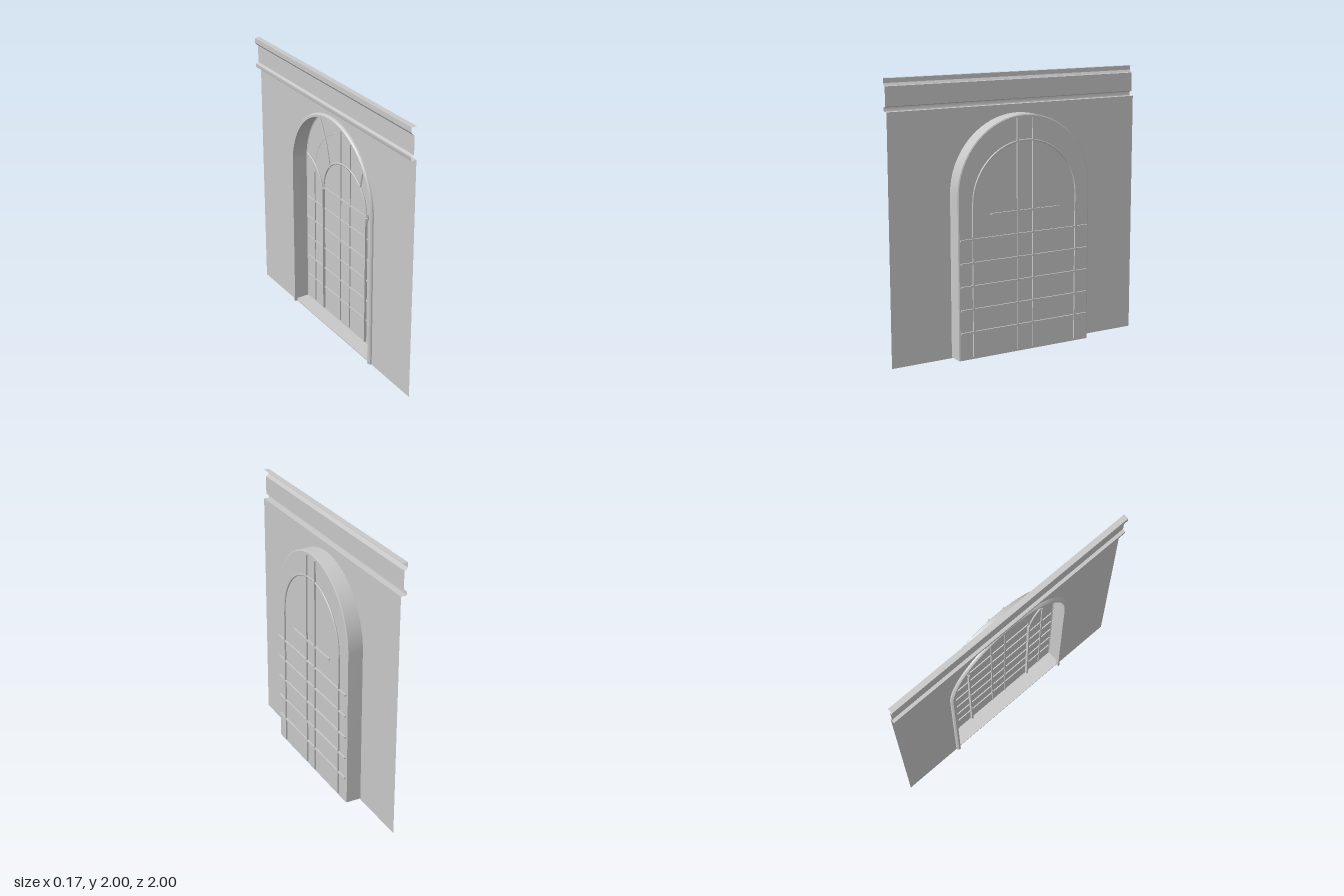
import * as THREE from 'three';
import { toCreasedNormals } from 'three/addons/utils/BufferGeometryUtils.js';

const WALL_X = -0.047; // plane of the wall
const PANE_X = 0.068; // plane of the window panel
const SPRING = 1.18; // height where the big arch starts to curve

// U-shaped arch outline as [z, y] points, from one foot over the top to the other
function archPoints(r, foot) {
  const pts = [[r, foot]];
  for (let i = 0; i <= 32; i++) {
    const a = (i / 32) * Math.PI;
    pts.push([r * Math.cos(a), SPRING + r * Math.sin(a)]);
  }
  pts.push([-r, foot]);
  return pts;
}

function archPath(r, foot, Type = THREE.Shape) {
  return new Type(archPoints(r, foot).map(([z, y]) => new THREE.Vector2(z, y)));
}

// Skin stretched over rows of [x, y, z] points
function skin(rows) {
  const n = rows[0].length;
  const index = [];
  for (let j = 0; j < rows.length - 1; j++) {
    for (let i = 0; i < n - 1; i++) {
      const a = j * n + i, b = a + 1, c = a + n, d = c + 1;
      index.push(a, b, d, a, d, c);
    }
  }
  const geo = new THREE.BufferGeometry();
  geo.setAttribute('position', new THREE.Float32BufferAttribute(rows.flat(2), 3));
  geo.setIndex(index);
  geo.computeVertexNormals();
  return toCreasedNormals(geo, 0.5);
}

// Loft through arches given as [x, radius]; closed adds the bottom
function archSkin(rings, foot, closed) {
  return skin(rings.map(([x, r]) => {
    const row = archPoints(r, foot).map(([z, y]) => [x, y, z]);
    if (closed) row.push(row[0].slice());
    return row;
  }));
}

export function createModel() {
  const model = new THREE.Group();
  const stone = new THREE.MeshStandardMaterial({ color: 0xc8c8c8, side: THREE.DoubleSide });
  stone.name = 'light grey plaster';

  const add = (name, geo, parent = model) => {
    const mesh = new THREE.Mesh(geo, stone);
    mesh.name = name;
    parent.add(mesh);
    return mesh;
  };

  // Wall sheet with the arched opening
  const wallShape = new THREE.Shape();
  wallShape.moveTo(-1, 0).lineTo(1, 0).lineTo(1, 1.775).lineTo(-1, 1.775).closePath();
  wallShape.holes.push(archPath(0.535, 0.008, THREE.Path));
  add('wall', new THREE.ShapeGeometry(wallShape).rotateY(-Math.PI / 2)).position.x = WALL_X;

  // Cornice: open moulding profile [x, y] running along the wall
  const profile = [
    [WALL_X, 1.775], [-0.085, 1.775], [-0.088, 1.782], [-0.088, 1.803], [-0.066, 1.81],
    [-0.066, 1.945], [-0.078, 1.948], [-0.09, 1.965], [-0.09, 2], [-0.05, 2],
  ];
  add('cornice', skin([-1, 1].map((z) => profile.map(([x, y]) => [x, y, z]))));

  // Raised trim round the opening, on the room side
  add('archTrim', archSkin(
    [[WALL_X, 0.537], [-0.058, 0.535], [-0.068, 0.525], [-0.068, 0.51], [-0.045, 0.51], [-0.04, 0.535]],
    0.005, false));

  // Deep reveal with its sill
  add('windowReveal', archSkin([[WALL_X, 0.535], [0.064, 0.535], [PANE_X, 0.527]], 0.008, true));

  // Flat panel closing the window
  add('windowPanel', new THREE.ShapeGeometry(archPath(0.527, 0.008)).rotateY(-Math.PI / 2))
    .position.x = PANE_X;

  // Glazing bars
  const bars = new THREE.Group();
  bars.name = 'glazingBars';
  model.add(bars);

  const bar = (name, x, z0, y0, z1, y1) => {
    const t = 0.012;
    const geo = new THREE.BoxGeometry(0.02, Math.max(y1 - y0, t), Math.max(z1 - z0, t));
    add(name, geo, bars).position.set(x, (y0 + y1) / 2, (z0 + z1) / 2);
  };
  const curvedBar = (name, x, pts) => {
    const curve = new THREE.CatmullRomCurve3(pts.map(([z, y]) => new THREE.Vector3(x, y, z)));
    add(name, new THREE.TubeGeometry(curve, 40, 0.007, 6), bars);
  };
  const arc = (r, cy) => Array.from({ length: 17 }, (_, i) => {
    const a = (i / 16) * Math.PI;
    return [r * Math.cos(a), cy + r * Math.sin(a)];
  });

  const MID = 0.07;
  for (const s of [-1, 1]) {
    bar('centreMullion', MID, s * 0.063, 0.025, s * 0.063, 1.69);
    bar('sideMullion', MID, s * 0.42, 0.025, s * 0.42, 1.115);
    // Tracery on the room side only
    bar('innerMullion', 0.057, s * 0.285, 0.025, s * 0.285, 1.03);
    curvedBar('traceryBranch', 0.06, [[s * 0.285, 0.99], [s * 0.34, 1.11], [s * 0.42, 1.19], [s * 0.51, 1.23]]);
    curvedBar('traceryBranch', 0.06, [[s * 0.2, 1.23], [s * 0.24, 1.38], [s * 0.33, 1.57]]);
  }
  for (const y of [0.205, 0.37, 0.537, 0.703, 0.87]) bar('crossBar', MID, -0.52, y, 0.52, y);
  bar('springBar', MID, -0.28, 1.035, 0.28, 1.035);
  curvedBar('middleArch', 0.073, arc(0.42, 1.115));
  curvedBar('innerArch', 0.06, arc(0.285, 1.035));

  return model;
}
